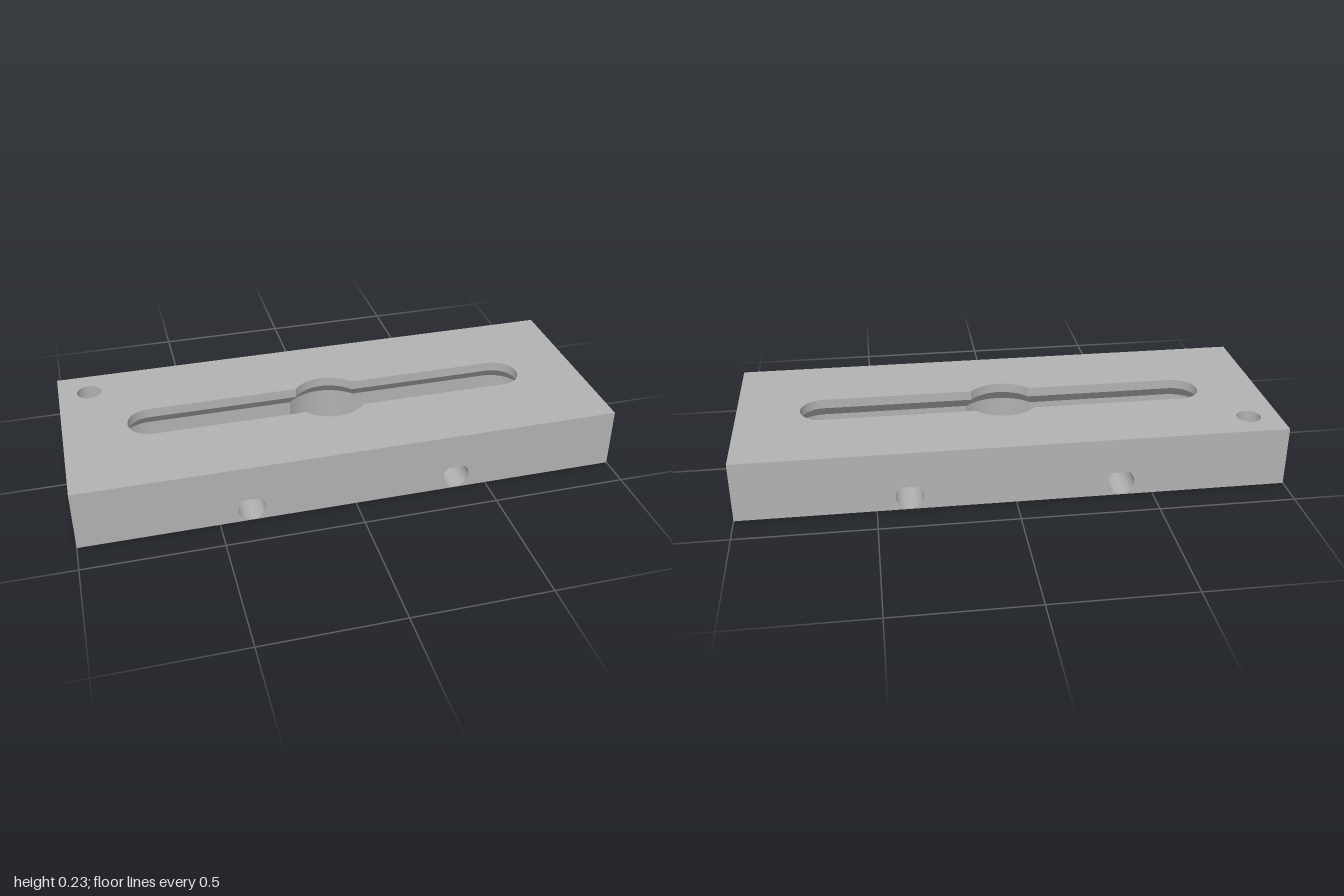
import * as THREE from 'three';
import { toCreasedNormals } from 'three/addons/utils/BufferGeometryUtils.js';

const W = 1, D = 0.383, H = 0.226;            // half length, half depth, height
const END_X = 0.68, SLOT_R = 0.085, BULGE_R = 0.14, FLARE = 0.037;
const LIP_Y = 0.19, RECESS_Y = 0.146;         // bottom of the lip, top of the recess walls
const PIN = { x: -0.885, z: -0.265, r: 0.045 };
const BORE = { x: 0.382, y: 0.052, r: 0.05, top: 0.09 };

const V2 = (x, y) => new THREE.Vector2(x, y);

function arc(cx, cy, r, from, to, n) {
  return Array.from({ length: n + 1 }, (_, i) => {
    const a = from + (to - from) * i / n;
    return V2(cx + r * Math.cos(a), cy + r * Math.sin(a));
  });
}

// Rounded slot with a round bulge in the middle, widened by an offset
function slotLoop(offset) {
  const r = SLOT_R + offset, R = BULGE_R + offset, a = Math.asin(r / R);
  const half = [
    ...arc(END_X, 0, r, 0, Math.PI / 2, 12),
    ...arc(0, 0, R, a, Math.PI - a, 20),
    ...arc(-END_X, 0, r, Math.PI / 2, Math.PI, 12),
  ];
  const other = half.slice(1, -1).reverse().map(p => V2(p.x, -p.y));
  return [...half, ...other];
}

// Round bore with a flat top
function boreLoop(cx) {
  const a = Math.asin((BORE.top - BORE.y) / BORE.r);
  return arc(cx, BORE.y, BORE.r, Math.PI - a, 2 * Math.PI + a, 28);
}

const pinLoop = () => arc(PIN.x, PIN.z, PIN.r, 0, 2 * Math.PI, 32).slice(0, -1);
const atY = (loop, y) => loop.map(p => new THREE.Vector3(p.x, y, p.y));
const atZ = (loop, z) => loop.map(p => new THREE.Vector3(p.x, p.y, z));

// Closed strip of quads between two loops; edges longer than maxEdge stay open
function band(A, B, maxEdge = Infinity) {
  const pts = [];
  A.forEach((a0, i) => {
    const j = (i + 1) % A.length;
    if (a0.distanceTo(A[j]) > maxEdge) return;
    pts.push(a0, A[j], B[j], a0, B[j], B[i]);
  });
  const g = new THREE.BufferGeometry().setFromPoints(pts);
  g.computeVertexNormals();
  return toCreasedNormals(g, 0.5);
}

// Flat rectangle with holes
function plate(x0, x1, y0, y1, holes) {
  const s = new THREE.Shape([V2(x0, y0), V2(x1, y0), V2(x1, y1), V2(x0, y1)]);
  s.holes = holes.map(h => new THREE.Path(h));
  return new THREE.ShapeGeometry(s);
}

export function createModel() {
  const model = new THREE.Group();
  const metal = new THREE.MeshStandardMaterial({ color: 0xb2b2b2 });
  metal.name = 'plain grey';
  metal.side = THREE.DoubleSide;
  const add = (name, geometry) => {
    const m = new THREE.Mesh(geometry, metal);
    m.name = name;
    model.add(m);
  };

  const narrow = slotLoop(0), wide = slotLoop(FLARE);
  const bores = [boreLoop(-BORE.x), boreLoop(BORE.x)];

  // Outer faces of the block
  const flipped = pinLoop().map(p => V2(p.x, -p.y));
  add('topFace', plate(-W, W, -D, D, [narrow, flipped]).rotateX(-Math.PI / 2).translate(0, H, 0));
  add('bottomFace', plate(-W, W, -D, D, [wide, pinLoop()]).rotateX(Math.PI / 2));
  add('frontFace', plate(-W, W, 0, H, bores).translate(0, 0, D));
  add('backFace', plate(-W, W, 0, H, bores).rotateY(Math.PI).translate(0, 0, -D));
  for (const s of [1, -1]) {
    add(s > 0 ? 'leftEnd' : 'rightEnd',
      new THREE.PlaneGeometry(2 * D, H).rotateY(s * Math.PI / 2).translate(s * W, H / 2, 0));
  }

  // Slot: narrow lip, flared underside, wide recess
  add('slotLip', band(atY(narrow, LIP_Y), atY(narrow, H)));
  add('slotFlare', band(atY(wide, RECESS_Y), atY(narrow, LIP_Y)));
  add('recessCurvedWalls', band(atY(wide, 0), atY(wide, RECESS_Y), 0.3));

  // Straight recess walls and the bores that run from them to the outside
  const wallZ = SLOT_R + FLARE;
  const innerX = Math.sqrt((BULGE_R + FLARE) ** 2 - wallZ ** 2);
  for (const sx of [-1, 1]) {
    const bore = boreLoop(sx * BORE.x);
    const x0 = sx > 0 ? innerX : -END_X, x1 = sx > 0 ? END_X : -innerX;
    add('recessBackWall', plate(x0, x1, 0, RECESS_Y, [bore]).translate(0, 0, -wallZ));
    // rotating by half a turn swaps the two sides, which mirror each other
    add('recessFrontWall', plate(x0, x1, 0, RECESS_Y, [bore]).rotateY(Math.PI).translate(0, 0, wallZ));
    add('frontBore', band(atZ(bore, D), atZ(bore, wallZ)));
    add('backBore', band(atZ(bore, -wallZ), atZ(bore, -D)));
  }

  // Corner pin hole
  add('pinHole', band(atY(pinLoop(), 0), atY(pinLoop(), H)));

  return model;
}
